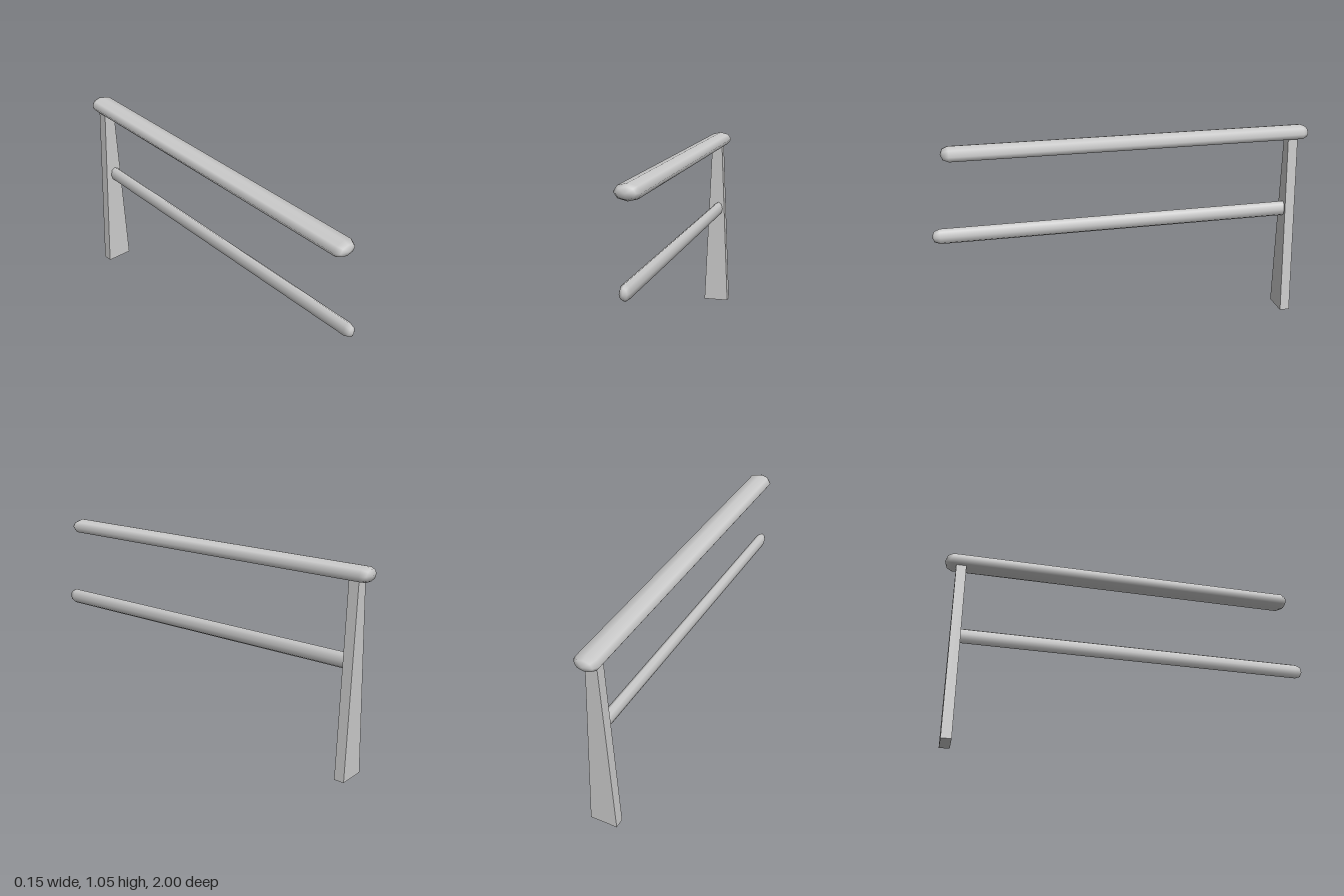
import * as THREE from 'three';

const material = new THREE.MeshStandardMaterial({ color: 0xcccccc });

// Rounded rail along z with an eight-sided elliptical section
function rail(name, halfWidth, halfHeight, x, y, zBack, zFront) {
  const length = zFront - zBack;
  const geometry = new THREE.CapsuleGeometry(halfHeight, length - 2 * halfHeight, 2, 8);
  geometry.rotateX(Math.PI / 2);
  geometry.scale(halfWidth / halfHeight, 1, 1);
  const mesh = new THREE.Mesh(geometry, material);
  mesh.name = name;
  mesh.position.set(x, y, (zBack + zFront) / 2);
  return mesh;
}

// Flat post that narrows towards the top
function taperedPost() {
  const shape = new THREE.Shape([
    new THREE.Vector2(-0.074, 0),
    new THREE.Vector2(0.073, 0),
    new THREE.Vector2(0.028, 0.99),
    new THREE.Vector2(-0.031, 0.99),
  ]);
  const geometry = new THREE.ExtrudeGeometry(shape, { depth: 0.053, bevelEnabled: false });
  const mesh = new THREE.Mesh(geometry, material);
  mesh.name = 'post';
  mesh.position.z = -0.938;
  return mesh;
}

export function createModel() {
  const group = new THREE.Group();
  group.name = 'fenceSection';
  group.add(
    taperedPost(),
    rail('topRail', 0.066, 0.04, 0.004, 1.015, -0.997, 0.93),
    rail('lowerRail', 0.027, 0.041, 0.009, 0.59, -0.927, 1.0),
  );
  return group;
}
